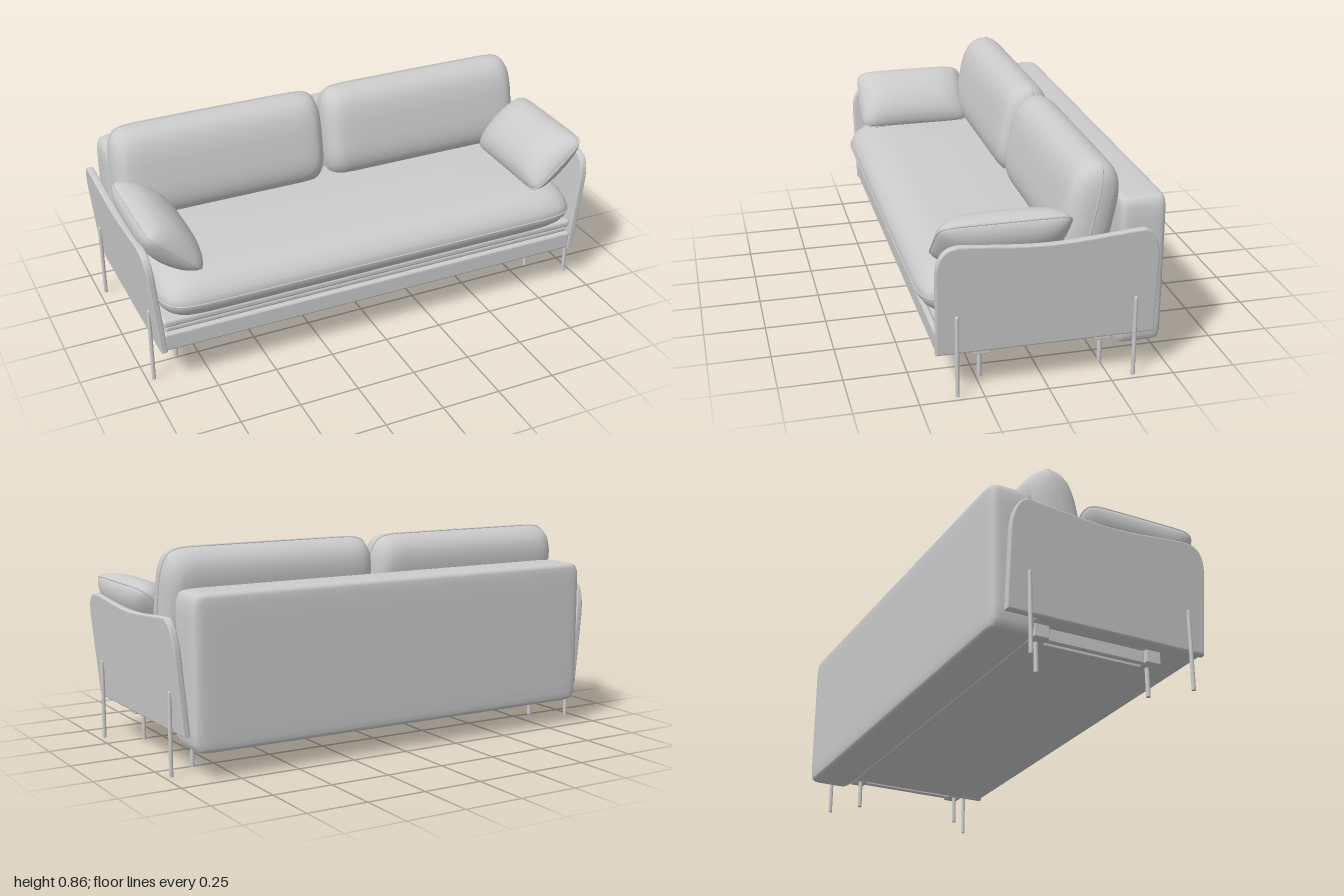
import * as THREE from 'three';
import { mergeVertices } from 'three/addons/utils/BufferGeometryUtils.js';
import { RoundedBoxGeometry } from 'three/addons/geometries/RoundedBoxGeometry.js';

const material = new THREE.MeshStandardMaterial({ color: 0xcccccc });

function add(parent, name, geometry, x = 0, y = 0, z = 0) {
  const mesh = new THREE.Mesh(geometry, material);
  mesh.name = name;
  mesh.position.set(x, y, z);
  parent.add(mesh);
  return mesh;
}

// Box given by its limits, with softly rounded edges
function block(parent, name, [x0, x1], [y0, y1], [z0, z1], radius) {
  const geometry = new RoundedBoxGeometry(x1 - x0, y1 - y0, z1 - z0, 4, radius);
  return add(parent, name, geometry, (x0 + x1) / 2, (y0 + y1) / 2, (z0 + z1) / 2);
}

// Stuffed shape: a cube pushed onto |x|^a + |y|^b + |z|^c = 1, thickness along y,
// thinned toward its outline by the pinch
function stuffed(half, power, pinch = 0) {
  const geometry = new THREE.BoxGeometry(2, 2, 2, 32, 12, 32);
  geometry.deleteAttribute('uv');
  geometry.deleteAttribute('normal');
  const merged = mergeVertices(geometry, 1e-4);
  const pos = merged.attributes.position;
  for (let i = 0; i < pos.count; i++) {
    // Crowd the vertices toward the rounded edges
    const c = [pos.getX(i), pos.getY(i), pos.getZ(i)].map((v) => Math.sin((v * Math.PI) / 2));
    let lo = 0, hi = 1;
    for (let k = 0; k < 30; k++) {
      const s = (lo + hi) / 2;
      const sum = c.reduce((t, v, j) => t + Math.abs(s * v) ** power[j], 0);
      if (sum > 1) hi = s; else lo = s;
    }
    const [u, v, w] = c.map((value) => value * lo);
    const thin = (1 - pinch * u * u) * (1 - pinch * w ** 4);
    pos.setXYZ(i, u * half[0], v * half[1] * thin, w * half[2]);
  }
  merged.computeVertexNormals();
  return merged;
}

// Cushion with piping around its widest outline
function cushion(parent, name, half, power, pinch) {
  const group = new THREE.Group();
  group.name = name;
  add(group, name + 'Body', stuffed(half, power, pinch));
  const bend = (v, p) => Math.sign(v) * Math.abs(v) ** (2 / p);
  const points = [];
  for (let i = 0; i < 64; i++) {
    const t = ((i + 0.5) / 64) * Math.PI * 2;
    points.push(new THREE.Vector3(
      half[0] * bend(Math.cos(t), power[0]), 0, half[2] * bend(Math.sin(t), power[2])));
  }
  const path = new THREE.CatmullRomCurve3(points, true);
  add(group, name + 'Piping', new THREE.TubeGeometry(path, 160, 0.0035, 6, true));
  parent.add(group);
  return group;
}

// Upholstered arm panel with a dipped top edge, leaning outward
function armPanel(side) {
  const shape = new THREE.Shape();
  shape.moveTo(0.42, 0.175);
  shape.lineTo(0.424, 0.5);
  shape.bezierCurveTo(0.424, 0.57, 0.405, 0.612, 0.345, 0.615);
  shape.bezierCurveTo(0.22, 0.608, 0.12, 0.59, 0, 0.59);
  shape.bezierCurveTo(-0.12, 0.59, -0.25, 0.608, -0.36, 0.614);
  shape.bezierCurveTo(-0.4, 0.605, -0.418, 0.54, -0.42, 0.48);
  shape.lineTo(-0.422, 0.175);
  shape.closePath();
  const geometry = new THREE.ExtrudeGeometry(shape, {
    depth: 0.014, bevelThickness: 0.008, bevelSize: 0.007, bevelSegments: 3, curveSegments: 12,
  });
  geometry.translate(0, 0, -0.007);
  geometry.rotateY(-Math.PI / 2);
  const pos = geometry.attributes.position;
  for (let i = 0; i < pos.count; i++) {
    const lean = 0.94 + 0.095 * (pos.getY(i) - 0.17);
    pos.setX(i, pos.getX(i) + side * lean);
  }
  geometry.computeVertexNormals();
  return geometry;
}

export function createModel() {
  const sofa = new THREE.Group();
  sofa.name = 'sofa';

  // Base frame, mattress layers and softly padded backrest
  block(sofa, 'baseFrame', [-0.935, 0.935], [0.172, 0.25], [-0.29, 0.425], 0.01);
  block(sofa, 'mattressLayer', [-0.925, 0.925], [0.25, 0.275], [-0.29, 0.41], 0.01);
  block(sofa, 'mattressTopLayer', [-0.935, 0.935], [0.275, 0.31], [-0.29, 0.42], 0.014);
  add(sofa, 'backrest', stuffed([0.926, 0.307, 0.095], [40, 20, 8]), 0, 0.408, -0.381);

  // Closed bottom tray under the base
  block(sofa, 'bottomTray', [-0.83, 0.83], [0.122, 0.175], [-0.28, 0.265], 0.004);

  // Seat cushion with a pointed front edge
  cushion(sofa, 'seatCushion', [0.94, 0.108, 0.383], [20, 1.55, 5.5]).position.set(0, 0.382, 0.09);

  for (const side of [1, -1]) {
    const label = side > 0 ? 'left' : 'right';

    // Back cushion, tilted back
    const back = cushion(sofa, label + 'BackCushion', [0.468, 0.103, 0.205], [16, 2, 3.4]);
    back.position.set(side * 0.472, 0.66, -0.179);
    back.rotation.x = Math.PI / 2 - 0.2;

    // Throw pillow leaning on the arm, pinched toward its corners
    const pillow = cushion(sofa, label + 'ArmPillow', [0.151, 0.088, 0.254], [6, 1.9, 10], 0.5);
    pillow.position.set(side * 0.858, 0.588, 0.157);
    pillow.rotation.z = side * 0.74;

    // Arm panel, and the bar with two end blocks that carries the inner legs
    add(sofa, label + 'ArmPanel', armPanel(side));
    const x = side * 0.86;
    block(sofa, label + 'EndBar', [x - 0.012, x + 0.012], [0.122, 0.175], [-0.22, 0.205], 0.004);

    for (const [z, innerZ, end] of [[0.35, 0.235, 'Front'], [-0.344, -0.25, 'Rear']]) {
      block(sofa, label + end + 'LegBlock', [x - 0.03, x + 0.03], [0.12, 0.175], [innerZ - 0.032, innerZ + 0.032], 0.004);
      add(sofa, label + end + 'OuterLeg', new THREE.CylinderGeometry(0.008, 0.008, 0.327, 16), side * 0.972, 0.1635, z);
      add(sofa, label + end + 'OuterLegCap', new THREE.SphereGeometry(0.008, 16, 8), side * 0.972, 0.327, z);
      add(sofa, label + end + 'InnerLeg', new THREE.CylinderGeometry(0.009, 0.009, 0.125, 16), side * 0.84, 0.0625, innerZ);
    }
  }
  return sofa;
}
